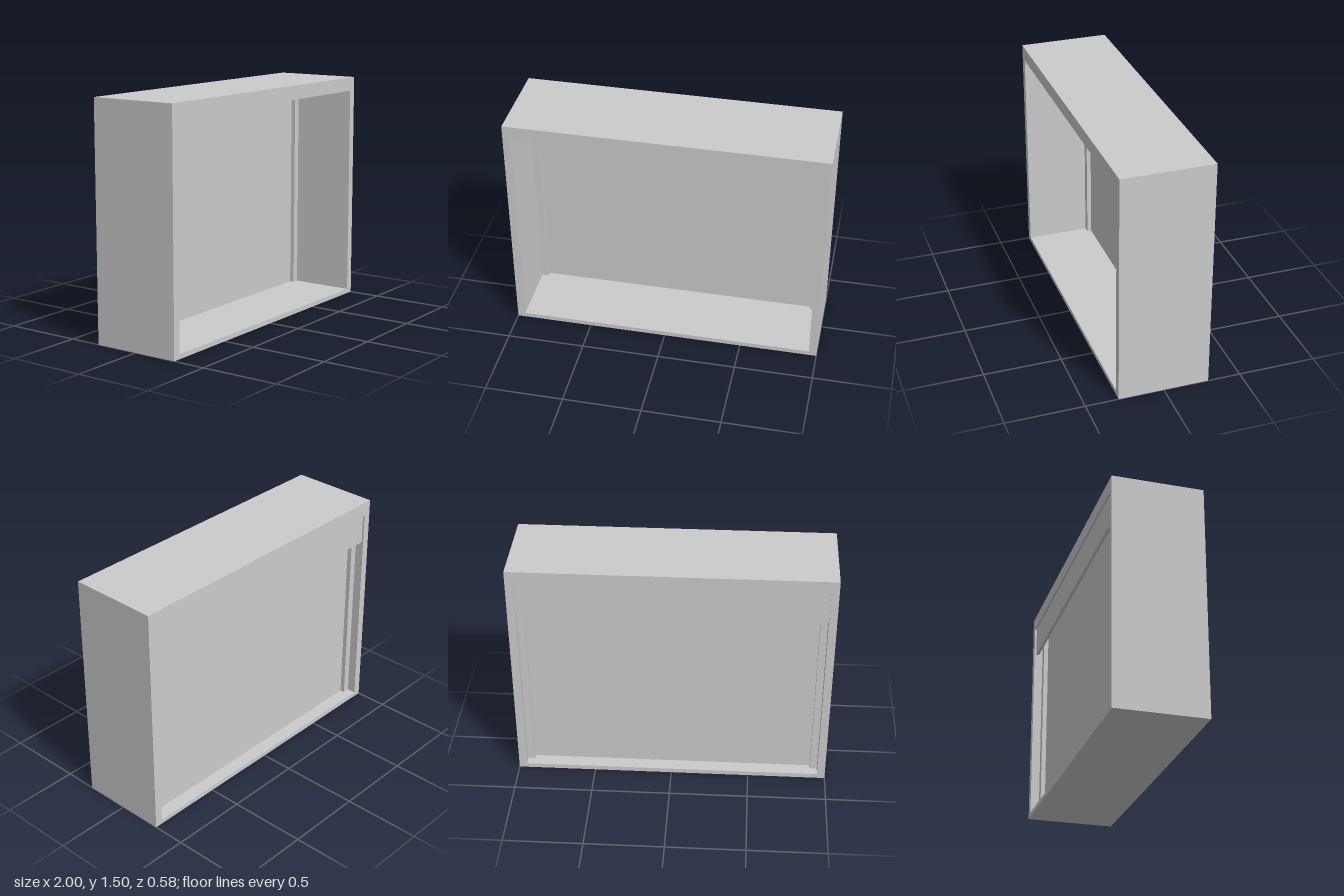
import * as THREE from 'three';

export function createModel() {
  const group = new THREE.Group();
  group.name = 'framedPanel';
  const material = new THREE.MeshStandardMaterial({ color: 0xcccccc });

  // Opening in the frame
  const left = -0.95, right = 0.95, bottom = 0.03, top = 1.41;

  function add(name, geometry) {
    const mesh = new THREE.Mesh(geometry, material);
    mesh.name = name;
    group.add(mesh);
  }

  // Box given by its limits on each axis
  function block(name, x0, x1, y0, y1, z0, z1) {
    const geometry = new THREE.BoxGeometry(x1 - x0, y1 - y0, z1 - z0);
    geometry.translate((x0 + x1) / 2, (y0 + y1) / 2, (z0 + z1) / 2);
    add(name, geometry);
  }

  // Deep outer frame, open through front and back
  const outline = new THREE.Shape([
    new THREE.Vector2(-1, 0), new THREE.Vector2(1, 0),
    new THREE.Vector2(1, 1.5), new THREE.Vector2(-1, 1.5),
  ]);
  outline.holes.push(new THREE.Path([
    new THREE.Vector2(left, bottom), new THREE.Vector2(left, top),
    new THREE.Vector2(right, top), new THREE.Vector2(right, bottom),
  ]));
  const frame = new THREE.ExtrudeGeometry(outline, { depth: 0.58, bevelEnabled: false });
  frame.translate(0, 0, -0.29);
  add('frame', frame);

  // Panel set towards the back
  block('panel', left, right, bottom, top, -0.202, -0.153);

  // Upright strips holding the panel on both faces
  for (const [side, x0, x1] of [['right', left, -0.905], ['left', 0.905, right]]) {
    block(side + 'FrontStrip', x0, x1, bottom, top, -0.153, -0.124);
    block(side + 'BackStrip', x0, x1, bottom, top, -0.232, -0.202);
  }

  // Thin rail across the top of the back opening
  block('backRail', left, right, 1.21, top, -0.278, -0.258);

  return group;
}
